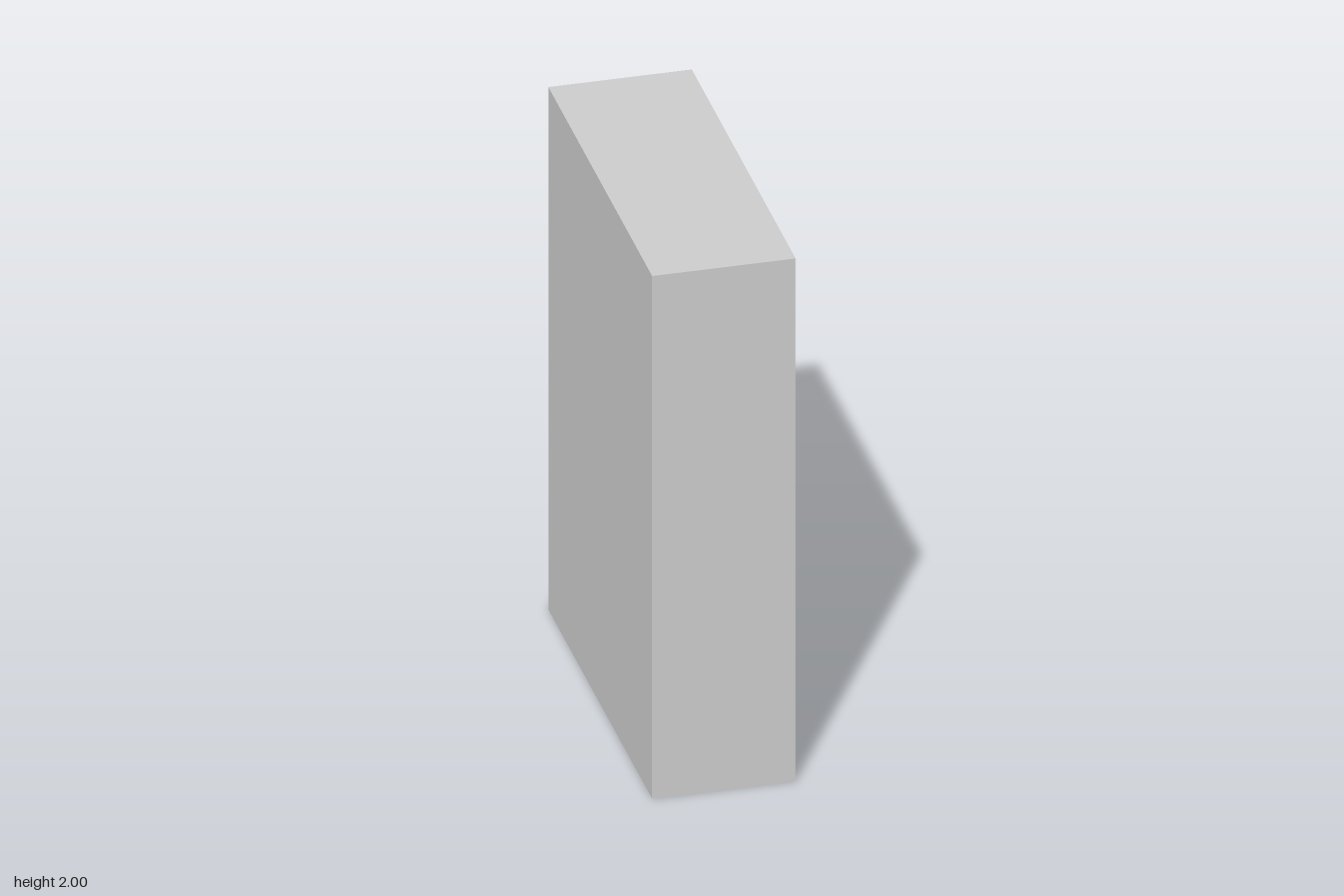
import * as THREE from 'three';

// Overall size and board thickness
const DEPTH = 0.5, WIDTH = 1.394, HEIGHT = 2;
const BOARD = 0.043, BACK = 0.037;

// Bottom and top height of each compartment
const COMPARTMENTS = [[0.05, 0.618], [0.665, 1.287], [1.334, 1.955]];

function rectangle(path, halfWidth, bottom, top) {
  path.moveTo(-halfWidth, bottom);
  path.lineTo(halfWidth, bottom);
  path.lineTo(halfWidth, top);
  path.lineTo(-halfWidth, top);
  path.closePath();
  return path;
}

export function createModel() {
  const group = new THREE.Group();
  group.name = 'bookcase';
  const material = new THREE.MeshStandardMaterial({ color: 0xcccccc });

  // Outer case and shelves: one frame with three openings, facing +x
  const outline = rectangle(new THREE.Shape(), WIDTH / 2, 0, HEIGHT);
  for (const [bottom, top] of COMPARTMENTS) {
    outline.holes.push(rectangle(new THREE.Path(), WIDTH / 2 - BOARD, bottom, top));
  }
  const frameGeometry = new THREE.ExtrudeGeometry(outline, { depth: DEPTH - BACK, bevelEnabled: false });
  frameGeometry.rotateY(Math.PI / 2);
  const frame = new THREE.Mesh(frameGeometry, material);
  frame.name = 'caseAndShelves';
  frame.position.x = -DEPTH / 2 + BACK;
  group.add(frame);

  // Closed back on the -x side
  const back = new THREE.Mesh(new THREE.BoxGeometry(BACK, HEIGHT, WIDTH), material);
  back.name = 'backPanel';
  back.position.set(-DEPTH / 2 + BACK / 2, HEIGHT / 2, 0);
  group.add(back);

  return group;
}
